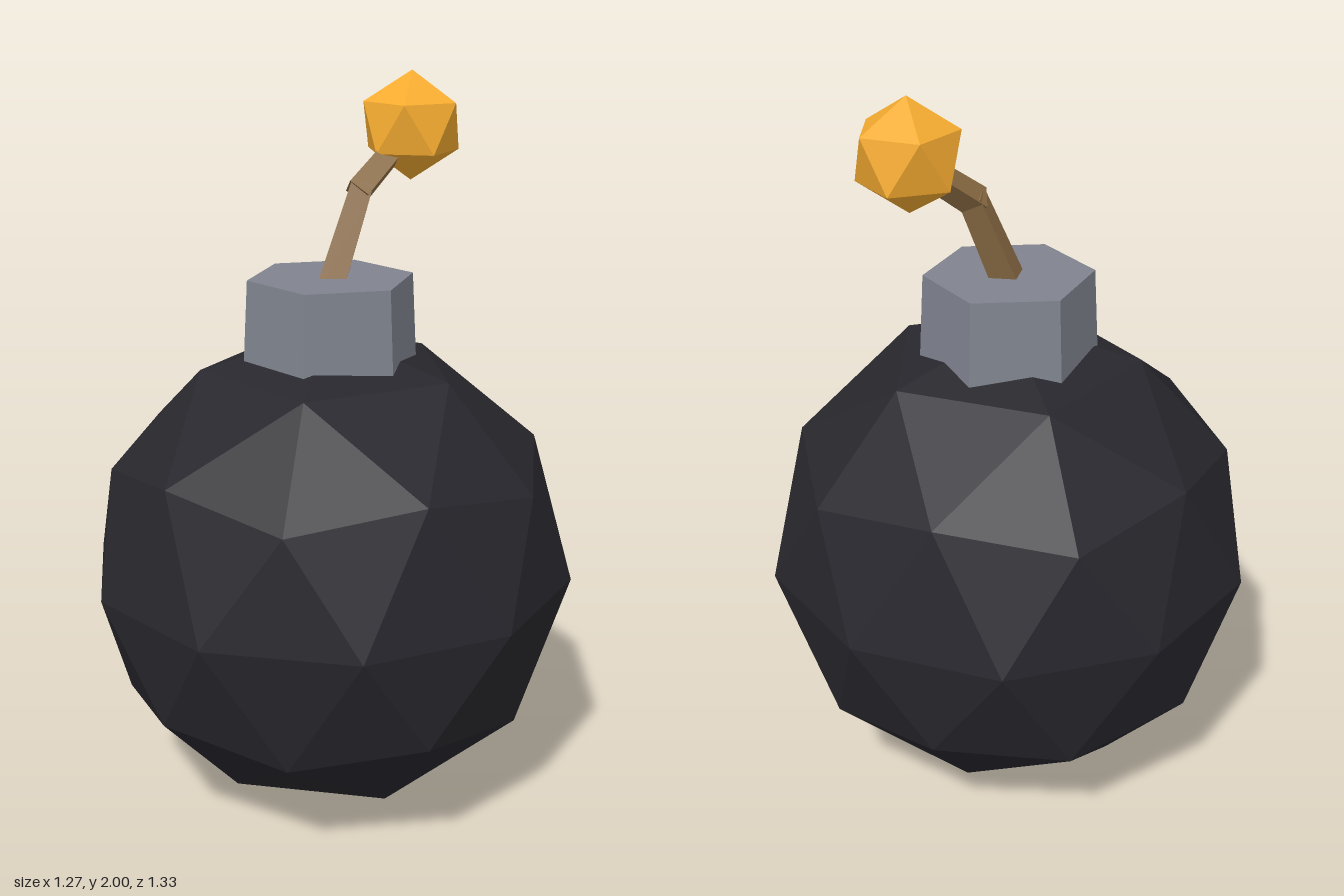
import * as THREE from 'three';

const paint = (color) => new THREE.MeshStandardMaterial({ color, flatShading: true });

// Icosphere turned so that a vertex sits at each pole
function icoBall(radius, detail) {
  const geometry = new THREE.IcosahedronGeometry(radius, detail);
  return geometry.rotateZ(-Math.atan2(1, (1 + Math.sqrt(5)) / 2));
}

// Tapered four-sided rod between two points
function rod(from, to, r0, r1) {
  const a = new THREE.Vector3(...from);
  const dir = new THREE.Vector3(...to).sub(a);
  const geometry = new THREE.CylinderGeometry(r1, r0, dir.length(), 4);
  geometry.translate(0, dir.length() / 2, 0);
  geometry.applyQuaternion(
    new THREE.Quaternion().setFromUnitVectors(new THREE.Vector3(0, 1, 0), dir.normalize())
  );
  return geometry.translate(a.x, a.y, a.z);
}

export function createModel() {
  const group = new THREE.Group();
  const add = (name, geometry, material, x = 0, y = 0) => {
    const mesh = new THREE.Mesh(geometry, material);
    mesh.name = name;
    mesh.position.set(x, y, 0);
    group.add(mesh);
  };

  // Round body
  add('body', icoBall(0.667, 1), paint(0x27272d), 0, 0.672);

  // Six-sided collar sunk into the top of the body
  add('collar', new THREE.CylinderGeometry(0.225, 0.239, 0.264, 6), paint(0x80848f), 0, 1.352);

  // Bent fuse in two overlapping pieces
  const brown = paint(0x8c6d45);
  add('lowerFuse', rod([-0.025, 1.4, 0], [0.115, 1.718, 0], 0.052, 0.041), brown);
  add('upperFuse', rod([0.095, 1.695, 0], [0.275, 1.83, 0], 0.043, 0.037), brown);

  // Spark at the end of the fuse
  add('spark', icoBall(0.146, 0), paint(0xf5ab30), 0.295, 1.854);

  return group;
}
